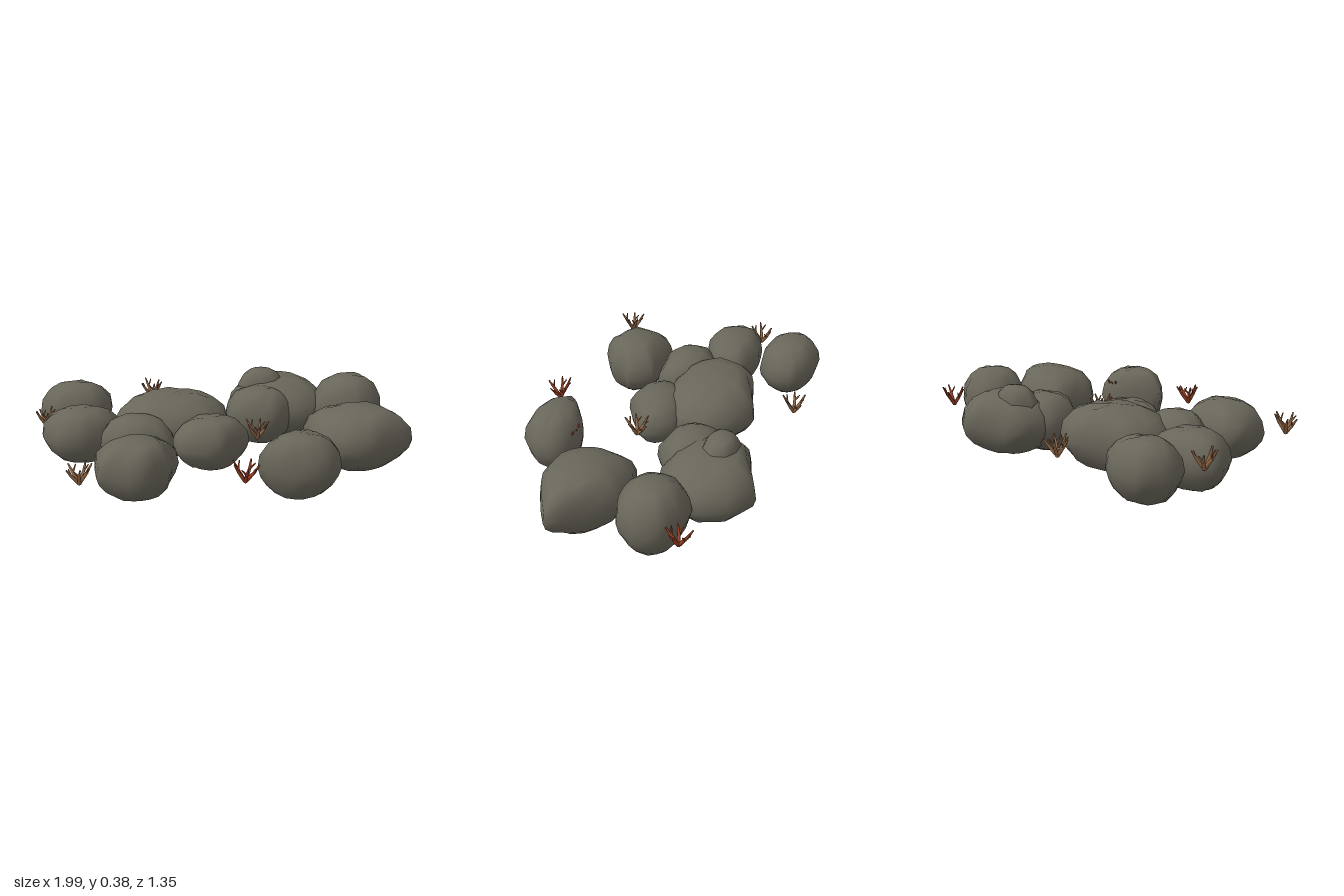
import * as THREE from 'three';
import { mergeGeometries } from 'three/addons/utils/BufferGeometryUtils.js';

// Small seeded random generator
function seeded(seed) {
  let s = seed * 7919 + 17;
  return () => (s = (s * 16807) % 2147483647) / 2147483647;
}

// Boulder side profile: [share of outline, share of height], bottom to top
const PROFILE = [
  [0.2, 0.04], [0.3, 0], [0.6, 0.06], [0.81, 0.18], [0.94, 0.33],
  [1, 0.48], [0.95, 0.68], [0.77, 0.86], [0.5, 0.96],
];

// Boulder skinned over a ground-plan outline [x, z] that rounds off away from its widest ring
function boulderGeometry(outline, bottom, top, seed) {
  const rand = seeded(seed);
  const h = top - bottom;
  const xs = outline.map(p => p[0]), zs = outline.map(p => p[1]);
  const cx = (Math.min(...xs) + Math.max(...xs)) / 2;
  const cz = (Math.min(...zs) + Math.max(...zs)) / 2;
  const hx = Math.max(...xs) - cx, hz = Math.max(...zs) - cz;

  // Outline around its centre, with a slightly raised point on each edge
  const plan = outline.flatMap(([x, z], i) => {
    const [x2, z2] = outline[(i + 1) % outline.length];
    return [[x - cx, z - cz], [((x + x2) / 2 - cx) * 1.015, ((z + z2) / 2 - cz) * 1.015]];
  });
  const n = plan.length;
  const pos = [], index = [];
  for (const [s, t] of PROFILE) {
    const wobble = s === 1 || s < 0.35 ? 0 : 0.04;
    const round = Math.min(1, (1 - s) * 2);
    for (const [x, z] of plan) {
      const oval = 0.95 / Math.hypot(x / hx, z / hz);
      const k = s * (1 + (oval - 1) * round) * (1 + (rand() - 0.5) * wobble);
      pos.push(cx + x * k, bottom + h * (t + (rand() - 0.5) * wobble * 0.7), cz + z * k);
    }
  }
  const rings = PROFILE.length;
  for (let r = 0; r < rings - 1; r++) {
    for (let i = 0; i < n; i++) {
      const a = r * n + i, b = r * n + (i + 1) % n;
      index.push(a, a + n, b, b, a + n, b + n);
    }
  }
  // Closing caps
  const low = pos.length / 3;
  pos.push(cx, bottom + h * 0.06, cz, cx, top, cz);
  const last = (rings - 1) * n;
  for (let i = 0; i < n; i++) {
    const j = (i + 1) % n;
    index.push(low, i, j, low + 1, last + j, last + i);
  }
  const g = new THREE.BufferGeometry();
  g.setAttribute('position', new THREE.Float32BufferAttribute(pos, 3));
  g.setIndex(index);
  g.computeVertexNormals();
  return g;
}

// Tapered twig between two points
function twig(a, b, r0, r1) {
  const dir = b.clone().sub(a);
  const g = new THREE.CylinderGeometry(r1, r0, dir.length(), 6);
  g.applyQuaternion(new THREE.Quaternion().setFromUnitVectors(
    new THREE.Vector3(0, 1, 0), dir.normalize()));
  const mid = a.clone().add(b).multiplyScalar(0.5);
  return g.translate(mid.x, mid.y, mid.z);
}

// Tuft of forked twigs fanning out from one root
function tuftGeometry(seed) {
  const rand = seeded(seed);
  const parts = [];
  const at = (angle, out, y) => new THREE.Vector3(Math.cos(angle) * out, y, Math.sin(angle) * out);
  const root = new THREE.Vector3();
  const stems = 5;
  for (let i = 0; i < stems; i++) {
    const angle = (i + rand() * 0.4) / stems * Math.PI * 2;
    const reach = 0.057 + rand() * 0.013;
    const height = 0.08 + rand() * 0.025;
    const fork = at(angle, reach * 0.6, height * 0.55);
    parts.push(twig(root, fork, 0.01, 0.008));
    parts.push(twig(fork, at(angle - 0.08, reach, height), 0.008, 0.004));
    parts.push(twig(fork, at(angle + 0.5, reach * 0.85, height * 0.9), 0.006, 0.003));
  }
  return mergeGeometries(parts);
}

export function createModel() {
  const group = new THREE.Group();
  group.name = 'boulderCluster';
  const material = (name, color) => {
    const m = new THREE.MeshStandardMaterial({ color });
    m.name = name;
    return m;
  };
  const stone = material('stoneGrey', 0x69665a);
  const brown = material('twigBrown', 0x966a48);
  const red = material('twigRed', 0x9c3f24);

  let seed = 0;
  const boulder = (name, bottom, top, outline) => {
    const mesh = new THREE.Mesh(boulderGeometry(outline, bottom, top, ++seed), stone);
    mesh.name = name;
    group.add(mesh);
  };

  // Right-hand boulders
  boulder('backRightBoulder', 0.025, 0.335, [[-0.985, -0.44], [-0.94, -0.535], [-0.89, -0.585],
    [-0.76, -0.595], [-0.67, -0.57], [-0.585, -0.5], [-0.59, -0.38], [-0.66, -0.3],
    [-0.78, -0.28], [-0.92, -0.31]]);
  boulder('sideRightBoulder', 0.012, 0.31, [[-0.96, -0.1], [-0.96, -0.18], [-0.87, -0.24],
    [-0.73, -0.27], [-0.54, -0.2], [-0.56, -0.05], [-0.65, 0.02], [-0.76, 0.06], [-0.88, 0.03]]);
  boulder('frontRightBoulder', 0.012, 0.325, [[-0.68, 0.29], [-0.61, 0.22], [-0.42, 0.21],
    [-0.32, 0.225], [-0.255, 0.335], [-0.29, 0.39], [-0.31, 0.48], [-0.45, 0.575],
    [-0.58, 0.52], [-0.67, 0.48]]);

  // Middle boulders
  boulder('largeMiddleBoulder', 0.012, 0.345, [[-0.57, -0.1], [-0.56, -0.24], [-0.5, -0.32],
    [-0.36, -0.37], [-0.19, -0.44], [-0.03, -0.36], [0.05, -0.24], [0.05, -0.1],
    [-0.04, 0.03], [-0.28, 0.07], [-0.48, 0.03]]);
  boulder('middleRightBoulder', 0.015, 0.315, [[-0.65, 0.07], [-0.64, -0.02], [-0.5, -0.1],
    [-0.34, -0.06], [-0.26, 0.08], [-0.3, 0.18], [-0.45, 0.21], [-0.58, 0.16]]);
  boulder('middleLeftBoulder', 0.015, 0.295, [[-0.27, 0.07], [-0.22, -0.02], [-0.15, -0.09],
    [0.03, -0.1], [0.11, -0.03], [0.14, 0.06], [0.08, 0.14], [-0.04, 0.23],
    [-0.18, 0.2], [-0.25, 0.15]]);

  // Left-hand boulders
  boulder('frontLeftBoulder', 0.01, 0.35, [[0.13, 0.46], [0.27, 0.35], [0.38, 0.305],
    [0.51, 0.34], [0.55, 0.4], [0.55, 0.5], [0.46, 0.6], [0.35, 0.61], [0.22, 0.565]]);
  boulder('largeLeftBoulder', 0.01, 0.345, [[0.45, -0.05], [0.57, -0.1], [0.75, -0.1],
    [0.88, 0.03], [0.995, 0.185], [0.87, 0.27], [0.73, 0.345], [0.59, 0.335],
    [0.47, 0.24], [0.445, 0.11]]);
  boulder('sideLeftBoulder', 0.005, 0.385, [[0.55, -0.2], [0.55, -0.35], [0.63, -0.43],
    [0.77, -0.44], [0.9, -0.375], [0.93, -0.25], [0.87, -0.14], [0.76, -0.09], [0.62, -0.13]]);
  boulder('backLeftBoulder', 0.01, 0.335, [[0.07, -0.4], [0.12, -0.54], [0.25, -0.59],
    [0.41, -0.675], [0.56, -0.59], [0.63, -0.44], [0.6, -0.25], [0.45, -0.17],
    [0.25, -0.2], [0.12, -0.27]]);
  boulder('innerLeftBoulder', 0.015, 0.33, [[0.055, -0.25], [0.06, -0.36], [0.14, -0.43],
    [0.3, -0.42], [0.42, -0.32], [0.42, -0.2], [0.29, -0.09], [0.17, -0.12], [0.08, -0.17]]);
  boulder('cappingBoulder', 0.14, 0.385, [[0.13, -0.42], [0.19, -0.51], [0.29, -0.53],
    [0.38, -0.49], [0.4, -0.41], [0.35, -0.34], [0.25, -0.33], [0.16, -0.36]]);

  // Dry twig tufts: [x, y, z, material]
  const tufts = [
    [-0.35, 0.17, -0.61, brown], [-0.94, 0.17, -0.21, brown], [-0.75, 0.17, 0.55, brown],
    [0.18, 0.17, 0.08, brown], [0.05, 0.17, 0.61, red], [0.86, 0.17, -0.46, red],
    [0.4, 0.19, 0.375, red],
  ];
  tufts.forEach(([x, y, z, mat], i) => {
    const mesh = new THREE.Mesh(tuftGeometry(i + 31), mat);
    mesh.name = 'twigTuft' + (i + 1);
    mesh.position.set(x, y, z);
    group.add(mesh);
  });
  return group;
}
